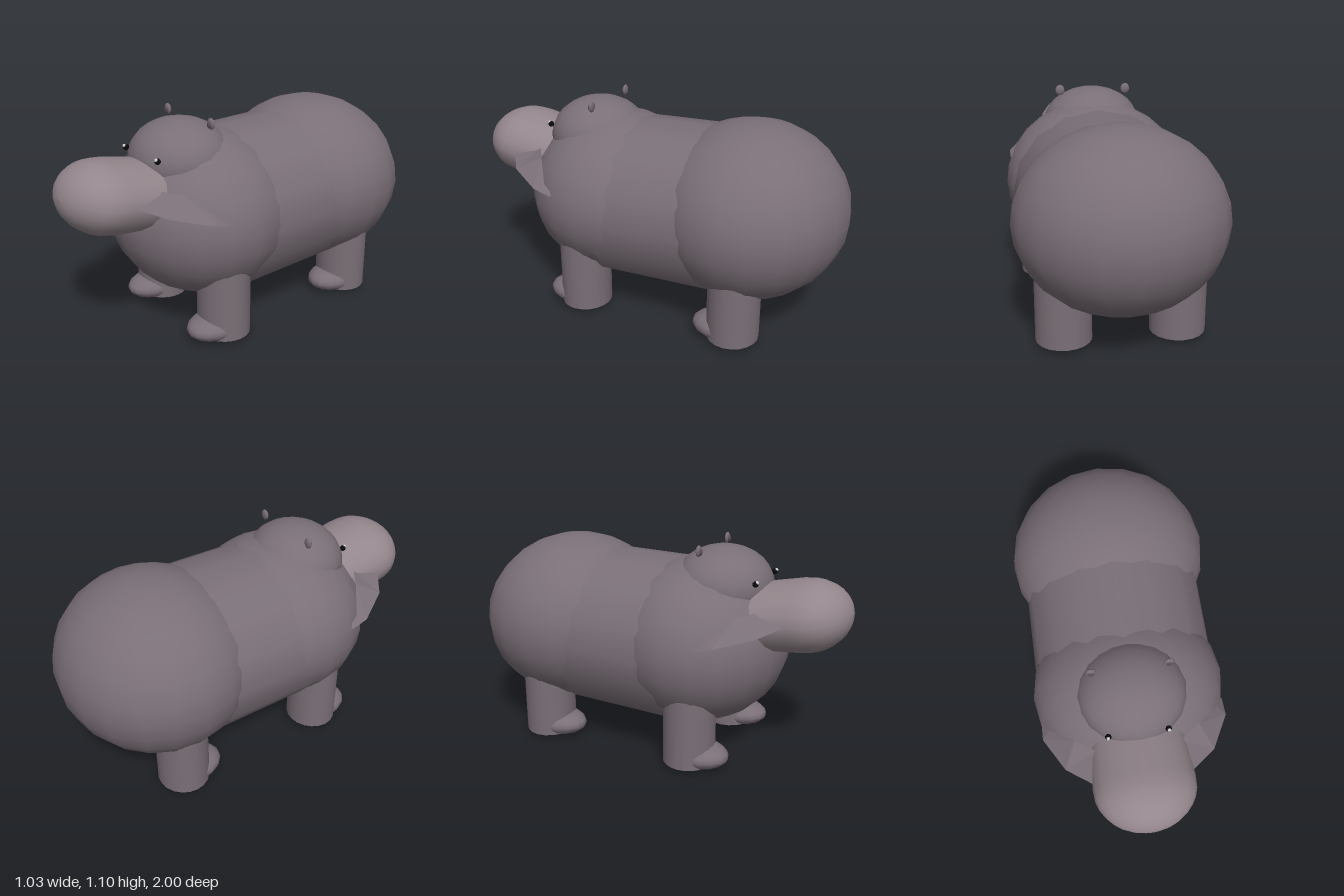
import * as THREE from 'three';

const mat = (color) => new THREE.MeshStandardMaterial({ color });

export function createModel() {
  const model = new THREE.Group();
  const skin = mat(0x7a6f77);
  const muzzleSkin = mat(0x93868c);
  const innerEar = mat(0x5c5057);
  const black = mat(0x0a0a0a);
  const white = mat(0xe8e8e8);
  const flapSkin = mat(0x7a6f77);
  flapSkin.side = THREE.DoubleSide;

  const add = (name, geometry, material) => {
    const mesh = new THREE.Mesh(geometry, material);
    mesh.name = name;
    model.add(mesh);
    return mesh;
  };

  // Ellipsoid given by centre and radii
  const ellipsoid = (name, [x, y, z], [rx, ry, rz], material = skin, w = 20, h = 14) => {
    const geometry = new THREE.SphereGeometry(1, w, h).scale(rx, ry, rz).translate(x, y, z);
    return add(name, geometry, material);
  };

  // Rump, chest and head
  ellipsoid('rump', [0, 0.605, -0.51], [0.515, 0.447, 0.49]);
  ellipsoid('chest', [0, 0.585, 0.24], [0.487, 0.425, 0.45]);
  ellipsoid('head', [0, 0.88, 0.35], [0.265, 0.195, 0.25]);

  // Barrel joining chest and rump, tilted very slightly
  const barrel = new THREE.CylinderGeometry(1, 1, 0.75, 16)
    .rotateX(Math.PI / 2).scale(0.462, 0.426, 1).rotateX(0.022).translate(0, 0.57, -0.13);
  add('barrel', barrel, skin);

  // Muzzle: a tube with a rounded front end, tipped upward
  const profile = [new THREE.Vector2(0.92, -0.3), new THREE.Vector2(1, -0.02)];
  for (let i = 1; i <= 8; i++) {
    const a = (i / 8) * Math.PI / 2;
    profile.push(new THREE.Vector2(Math.max(Math.cos(a), 0.0001), 0.215 * Math.sin(a)));
  }
  const muzzle = new THREE.LatheGeometry(profile, 20)
    .rotateX(Math.PI / 2).scale(0.245, 0.176, 1).rotateX(-0.16).translate(0, 0.775, 0.785);
  add('muzzle', muzzle, muzzleSkin);

  // Mouth corner: wedge swept back along the cheek (outer rim, upper root, lower root)
  const rim = [[0.22, 0.778, 0.755], [0.36, 0.74, 0.65], [0.455, 0.695, 0.48], [0.455, 0.67, 0.39]];
  const upper = [[0.2, 0.815, 0.6], [0.3, 0.805, 0.53], [0.42, 0.715, 0.44], [0.44, 0.675, 0.38]];
  const lower = [[0.2, 0.735, 0.62], [0.33, 0.705, 0.52], [0.42, 0.68, 0.43], [0.44, 0.668, 0.38]];
  const mouthCorner = (side) => {
    const points = [];
    const quad = (a, b, c, d) => points.push(...[a, b, c, a, c, d].flatMap(([x, y, z]) => [x * side, y, z]));
    for (let i = 0; i < 3; i++) {
      quad(upper[i], rim[i], rim[i + 1], upper[i + 1]);
      quad(rim[i], lower[i], lower[i + 1], rim[i + 1]);
    }
    // Mirroring flips the winding, so turn the corners round again
    if (side < 0) {
      for (let i = 0; i < points.length; i += 9) {
        for (let k = 0; k < 3; k++) {
          [points[i + 3 + k], points[i + 6 + k]] = [points[i + 6 + k], points[i + 3 + k]];
        }
      }
    }
    const geometry = new THREE.BufferGeometry();
    geometry.setAttribute('position', new THREE.Float32BufferAttribute(points, 3));
    geometry.computeVertexNormals();
    return geometry;
  };

  for (const side of [1, -1]) {
    const label = side > 0 ? 'left' : 'right';
    add(`${label}MouthCorner`, mouthCorner(side), flapSkin);

    // Eyes with a small highlight
    ellipsoid(`${label}Eye`, [side * 0.14, 0.932, 0.565], [0.015, 0.015, 0.015], black, 12, 8);
    ellipsoid(`${label}EyeHighlight`, [side * 0.141, 0.94, 0.573], [0.009, 0.009, 0.009], white, 10, 8);

    // Ears
    ellipsoid(`${label}Ear`, [side * 0.18, 1.07, 0.29], [0.025, 0.028, 0.011], skin, 12, 10);
    ellipsoid(`${label}InnerEar`, [side * 0.18, 1.066, 0.301], [0.014, 0.017, 0.007], innerEar, 10, 8);

    // Legs and feet
    for (const [place, z] of [['Front', 0.3], ['Back', -0.535]]) {
      const leg = new THREE.CylinderGeometry(0.138, 0.138, 0.475, 20)
        .scale(1, 1, 0.95).translate(side * 0.28, 0.2625, z);
      add(`${label}${place}Leg`, leg, skin);
      ellipsoid(`${label}${place}Foot`, [side * 0.28, 0.068, z + 0.045], [0.12, 0.067, 0.165], skin, 16, 10);
    }
  }

  return model;
}
